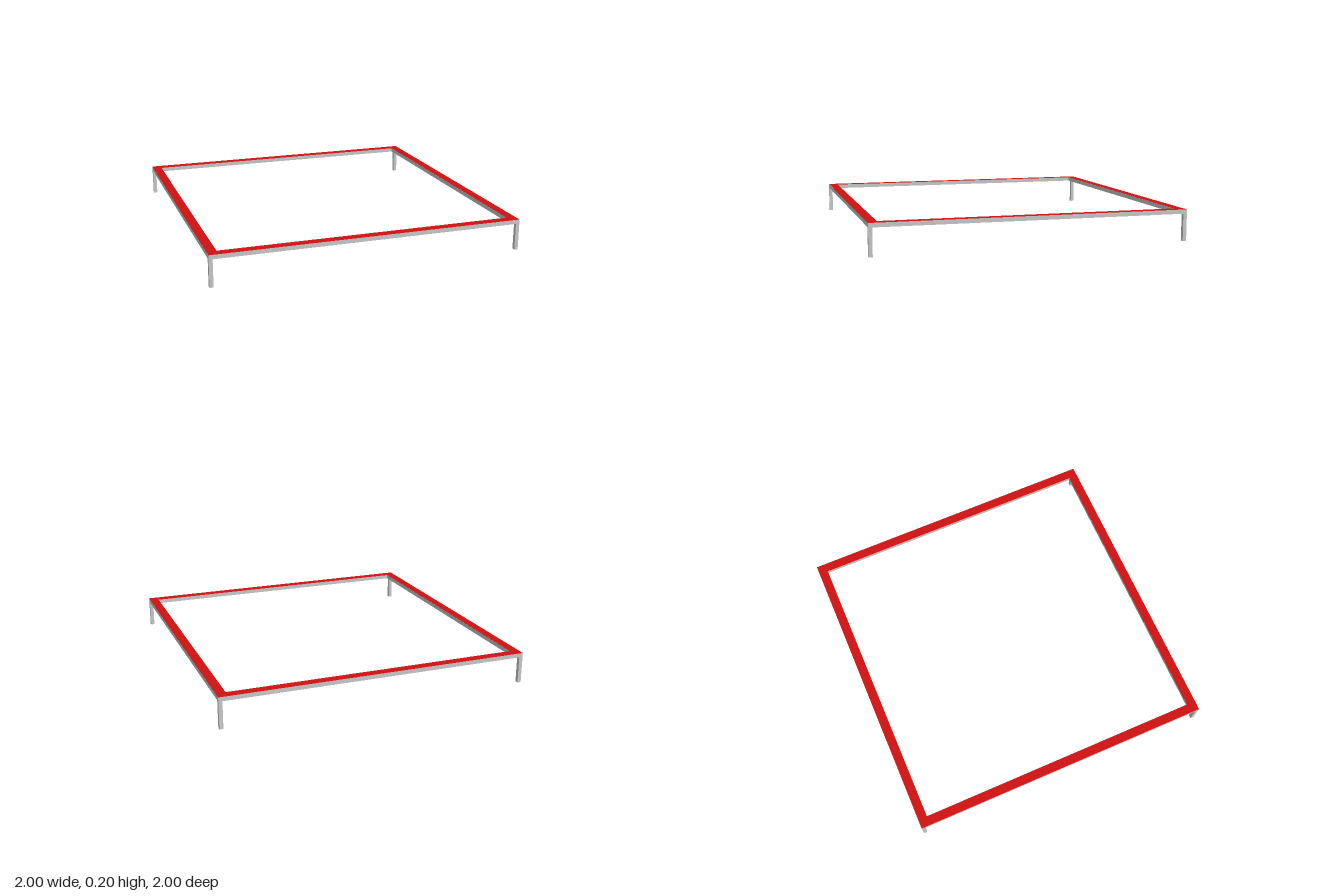
import * as THREE from 'three';

const HALF = 1, BAND = 0.06, HEIGHT = 0.2, THICK = 0.027, LEG = 0.024;

// Square outline with a square opening
function ringShape() {
  const square = (Type, r) => {
    const s = new Type();
    s.moveTo(-r, -r).lineTo(r, -r).lineTo(r, r).lineTo(-r, r).closePath();
    return s;
  };
  const shape = square(THREE.Shape, HALF);
  shape.holes.push(square(THREE.Path, HALF - BAND));
  return shape;
}

export function createModel() {
  const model = new THREE.Group();
  model.name = 'squareFrameOnLegs';
  const grey = new THREE.MeshStandardMaterial({ color: 0xcccccc });
  const red = new THREE.MeshStandardMaterial({ color: 0xd01010 });

  const add = (name, geometry, material, x, y, z) => {
    const mesh = new THREE.Mesh(geometry, material);
    mesh.name = name;
    mesh.position.set(x, y, z);
    model.add(mesh);
  };

  // Flat square frame
  const skin = 0.0005;
  const frame = new THREE.ExtrudeGeometry(ringShape(), { depth: THICK - skin, bevelEnabled: false });
  frame.rotateX(-Math.PI / 2);
  add('frame', frame, grey, 0, HEIGHT - THICK, 0);

  // Red top surface
  const top = new THREE.ShapeGeometry(ringShape());
  top.rotateX(-Math.PI / 2);
  add('redTopSurface', top, red, 0, HEIGHT, 0);

  // Slim square legs flush with the outer corners
  const legHeight = HEIGHT - THICK;
  const leg = new THREE.BoxGeometry(LEG, legHeight, LEG);
  const offset = HALF - LEG / 2;
  for (const [xName, sx] of [['Left', 1], ['Right', -1]])
    for (const [zName, sz] of [['front', 1], ['back', -1]])
      add(`${zName}${xName}Leg`, leg, grey, sx * offset, legHeight / 2, sz * offset);

  return model;
}
